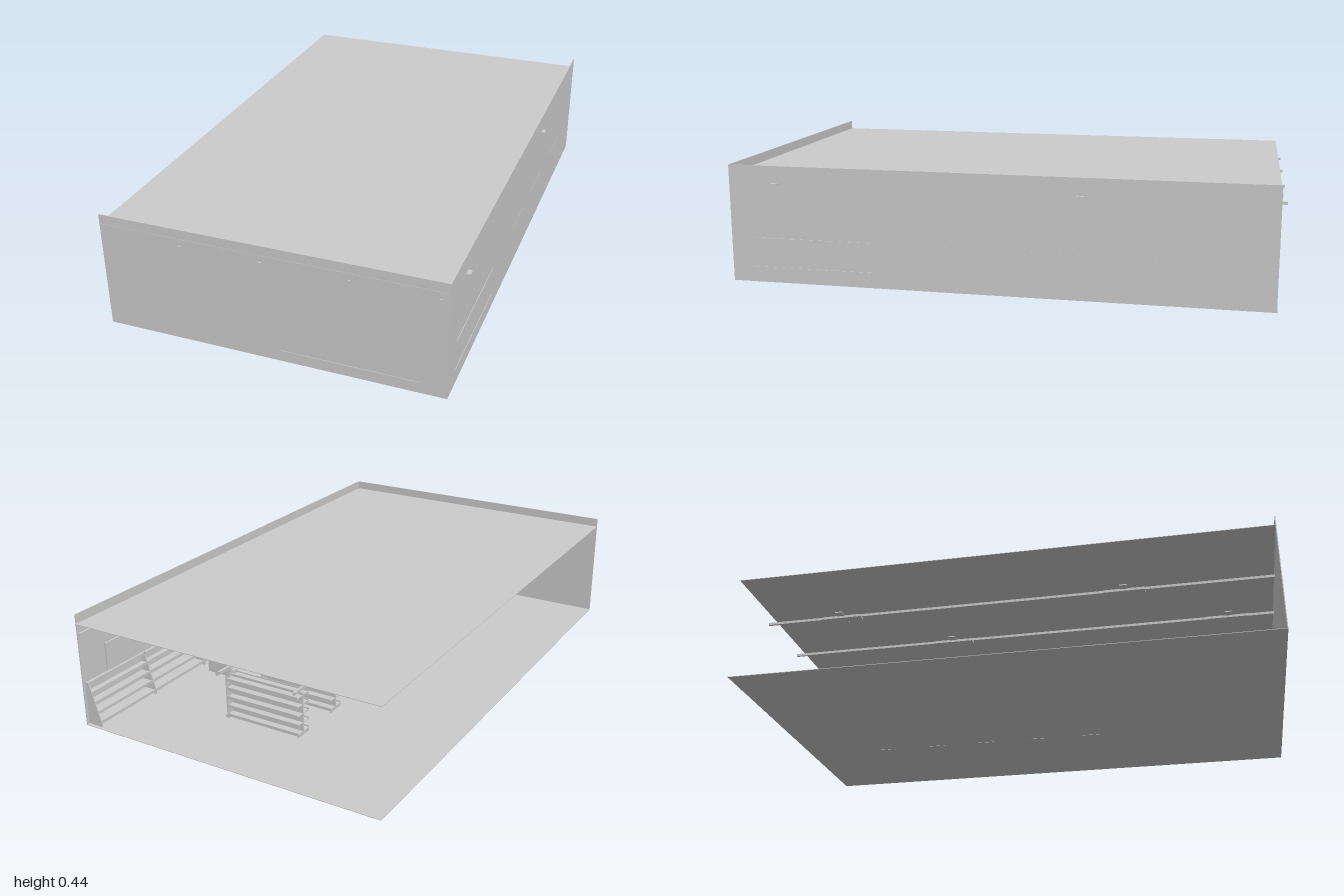
import * as THREE from 'three';

const grey = new THREE.MeshStandardMaterial({ color: 0xcccccc, side: THREE.DoubleSide, flatShading: true });

// Box given by its minimum and maximum on each axis
function box(parent, name, x0, x1, y0, y1, z0, z1) {
  const mesh = new THREE.Mesh(new THREE.BoxGeometry(x1 - x0, y1 - y0, z1 - z0), grey);
  mesh.position.set((x0 + x1) / 2, (y0 + y1) / 2, (z0 + z1) / 2);
  mesh.name = name;
  parent.add(mesh);
  return mesh;
}

// Tapered side panel in the XY plane: deep foot, narrow top; the back is at x = 0
function sidePanel(parent, z, depth, height) {
  const s = new THREE.Shape();
  s.moveTo(0, 0);
  s.lineTo(-depth, 0);
  s.lineTo(-depth, 0.02);
  s.lineTo(-depth * 0.3, height);
  s.lineTo(0, height);
  const mesh = new THREE.Mesh(new THREE.ExtrudeGeometry(s, { depth: 0.004, bevelEnabled: false }), grey);
  mesh.position.z = z - 0.002;
  mesh.name = 'shelfSide';
  parent.add(mesh);
}

// Shelving against a wall, running along z, with shelves that get shallower upwards
function wallShelving(length, modules, depth, height) {
  const g = new THREE.Group();
  g.name = 'wallShelving';
  box(g, 'backPanel', -0.004, 0, 0, height, 0, length);
  for (let i = 0; i <= modules; i++) sidePanel(g, (length * i) / modules, depth, height);
  for (let i = 0; i < 5; i++) {
    const y = 0.015 + (i * (height - 0.02)) / 4;
    const d = depth * (1 - (0.7 * y) / height);
    box(g, 'shelf', -d, 0, y, y + 0.004, 0, length);
    box(g, 'shelfLip', -d - 0.002, -d, y - 0.003, y + 0.008, 0, length);
  }
  return g;
}

// Free-standing double-sided shelving, running along x
function aisle(z) {
  const g = new THREE.Group();
  g.name = 'aisleShelving';
  const x0 = -0.12, x1 = 0.19;
  box(g, 'spine', x0, x1, 0, 0.17, -0.003, 0.003);
  box(g, 'foot', x1 - 0.004, x1 + 0.012, -0.001, 0.012, -0.035, 0.035);
  box(g, 'foot', x0, x0 + 0.004, 0, 0.012, -0.035, 0.035);
  for (const s of [-1, 1]) {
    for (let i = 0; i < 5; i++) {
      const y = 0.012 + i * 0.036;
      const a = 0.003 * s, b = 0.035 * s;
      box(g, 'shelf', x0, x1, y, y + 0.004, Math.min(a, b), Math.max(a, b));
      box(g, 'shelfLip', x0, x1, y - 0.003, y + 0.009, b - 0.001, b + 0.001);
    }
  }
  // end display with post
  box(g, 'endPanel', x1, x1 + 0.004, 0, 0.175, -0.035, 0.035);
  box(g, 'endPost', x1, x1 + 0.008, 0, 0.2, -0.006, 0.006);
  g.position.z = z;
  return g;
}

export function createModel() {
  const model = new THREE.Group();
  model.name = 'shopInterior';

  // Shell, open at the left and the back
  const shell = new THREE.Group();
  shell.name = 'shell';
  model.add(shell);
  box(shell, 'floor', -0.625, 0.61, 0, 0.002, -0.985, 0.99);
  box(shell, 'ceiling', -0.625, 0.608, 0.4, 0.402, -0.985, 0.991);
  box(shell, 'frontWall', -0.625, 0.61, 0, 0.437, 0.987, 0.99);
  box(shell, 'rightWall', 0.606, 0.61, 0, 0.437, -0.982, 0.99);

  // Lighting rails with staggered lamps
  const lights = new THREE.Group();
  lights.name = 'lighting';
  model.add(lights);
  [-0.32, -0.03, 0.28, 0.58].forEach((x, i) => {
    box(lights, 'lightRail', x - 0.004, x + 0.004, 0.367, 0.377, -1, 0.995);
    for (const z of i % 2 ? [-0.31, 0.81] : [-0.69, 0.43]) {
      box(lights, 'lamp', x - 0.016, x + 0.016, 0.362, 0.372, z - 0.08, z + 0.08);
      box(lights, 'lampBracket', x - 0.045, x + 0.045, 0.37, 0.374, z - 0.014, z + 0.014);
    }
  });

  // Shelving along the right wall
  const longUnit = wallShelving(1.205, 4, 0.065, 0.168);
  longUnit.position.set(0.6105, 0, -0.97);
  model.add(longUnit);
  box(model, 'wallPanel', 0.598, 0.605, 0.17, 0.28, -0.86, -0.36);

  // Open shelves nearer the front, fixed through the right wall
  const cabinet = new THREE.Group();
  cabinet.name = 'sideShelves';
  model.add(cabinet);
  for (const y of [0.055, 0.11, 0.165]) {
    box(cabinet, 'shelf', 0.545, y === 0.11 ? 0.605 : 0.612, y - 0.003, y + 0.003, 0.44, 0.905);
  }
  for (const z of [0.44, 0.67, 0.901]) box(cabinet, 'shelfSide', 0.545, 0.605, 0, 0.165, z, z + 0.004);

  // Low shelving along the front wall
  const low = new THREE.Group();
  low.name = 'frontShelves';
  model.add(low);
  box(low, 'shelf', 0.03, 0.52, 0.037, 0.043, 0.93, 0.992);
  for (const y of [0.08, 0.12, 0.16]) box(low, 'shelf', 0.03, 0.52, y, y + 0.004, 0.945, 0.987);
  for (const x of [0.03, 0.273, 0.516]) box(low, 'shelfSide', x, x + 0.004, 0, 0.164, 0.935, 0.987);

  // Five aisles across the middle
  for (const z of [-0.65, -0.43, -0.22, 0, 0.22]) model.add(aisle(z));

  // Plain sign board on an arm in front of the first aisle
  box(model, 'signBoard', 0.135, 0.225, 0.208, 0.258, -0.737, -0.733);
  box(model, 'signArm', 0.19, 0.196, 0.196, 0.21, -0.737, -0.65);

  return model;
}
